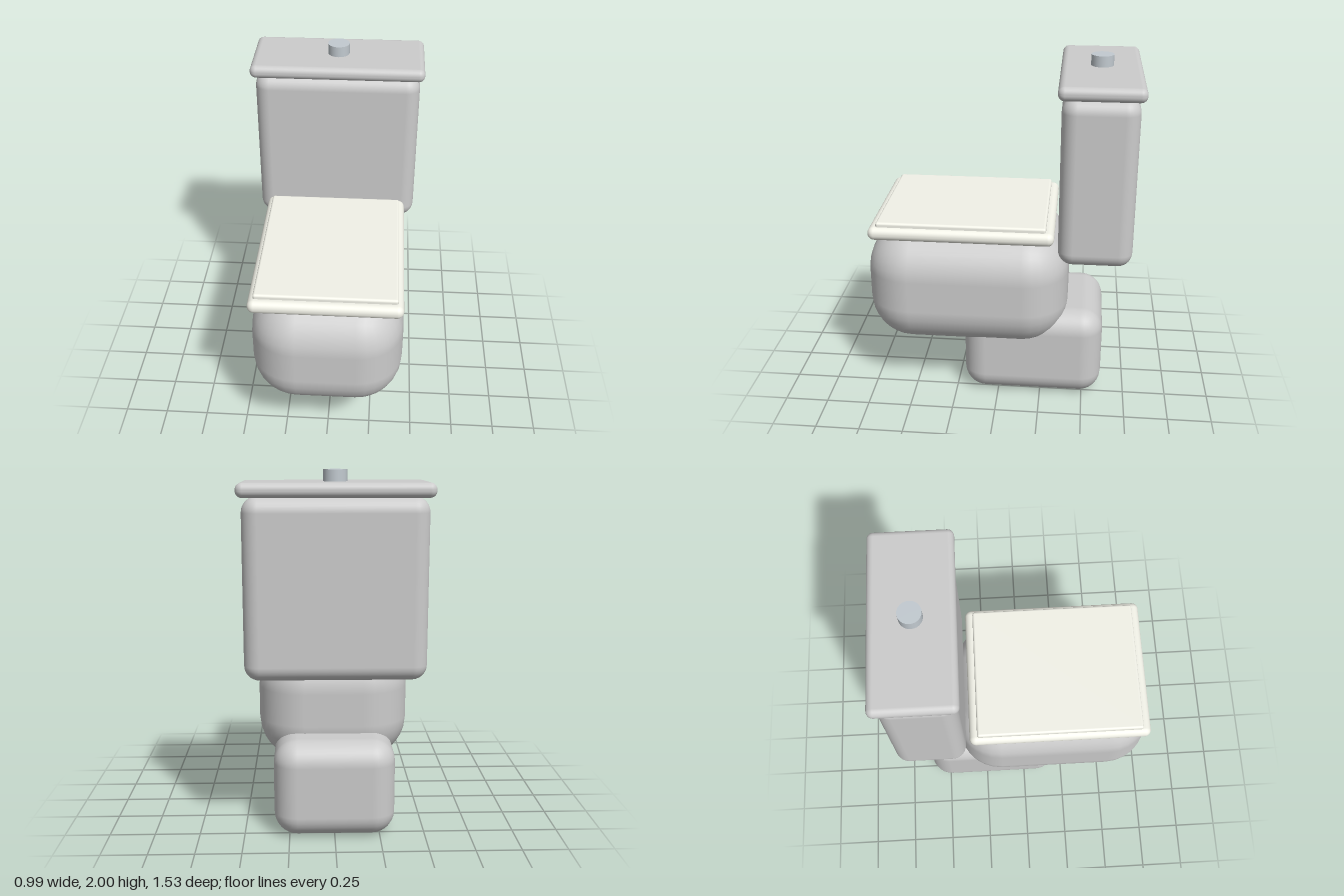
import * as THREE from 'three';
import { RoundedBoxGeometry } from 'three/addons/geometries/RoundedBoxGeometry.js';

export function createModel() {
  const group = new THREE.Group();
  const ceramic = new THREE.MeshStandardMaterial({ color: 0xcccccc });
  const seatPlastic = new THREE.MeshStandardMaterial({ color: 0xf2f2e8 });
  const metal = new THREE.MeshStandardMaterial({ color: 0xc2cad0 });

  // Rounded block given by its half width and its y and z ranges
  function block(name, halfX, [y0, y1], [z0, z1], radius, material, segments = 4) {
    const geometry = new RoundedBoxGeometry(halfX * 2, y1 - y0, z1 - z0, segments, radius);
    const mesh = new THREE.Mesh(geometry, material);
    mesh.name = name;
    mesh.position.set(0, (y0 + y1) / 2, (z0 + z1) / 2);
    group.add(mesh);
  }

  // Pedestal and bowl
  block('base', 0.335, [0, 0.545], [-0.61, 0.205], 0.13, ceramic);
  block('bowl', 0.425, [0.325, 1.03], [-0.4, 0.765], 0.26, ceramic);

  // Seat with its closed cover
  block('seat', 0.415, [1.018, 1.095], [-0.318, 0.72], 0.037, seatPlastic);
  block('seatCover', 0.385, [1.075, 1.12], [-0.273, 0.675], 0.014, seatPlastic);

  // Water tank and lid
  block('tank', 0.473, [0.93, 1.87], [-0.745, -0.34], 0.08, ceramic);
  block('tankLid', 0.495, [1.865, 1.94], [-0.768, -0.32], 0.035, ceramic);

  // Flush button
  const button = new THREE.Mesh(new THREE.CylinderGeometry(0.062, 0.062, 0.075, 24), metal);
  button.name = 'flushButton';
  button.position.set(0, 1.9625, -0.545);
  group.add(button);

  return group;
}
